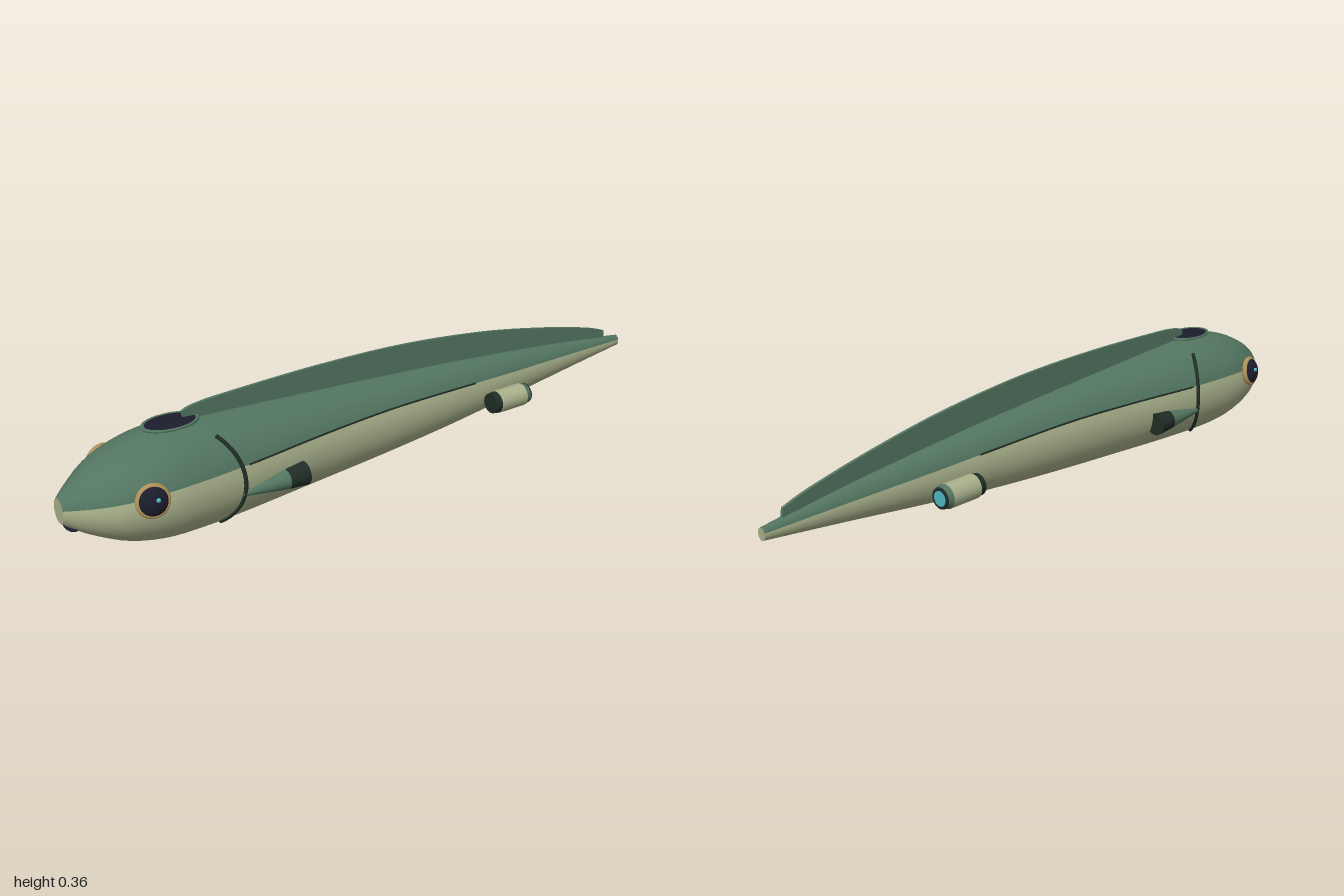
import * as THREE from 'three';

const mat = (name, color) => new THREE.MeshStandardMaterial({ name, color });

// Hull stations: z, top, bottom, half width, seam height (sine of its angle)
const stations = [
  [-1, 0.175, 0.14, 0.014, 0.3],
  [-0.75, 0.208, 0.111, 0.037, 0.32],
  [-0.5, 0.234, 0.08, 0.058, 0.36],
  [-0.25, 0.256, 0.052, 0.08, 0.42],
  [0, 0.274, 0.032, 0.1, 0.44],
  [0.25, 0.29, 0.017, 0.12, 0.38],
  [0.5, 0.305, 0.006, 0.147, 0.31],
  [0.65, 0.311, 0.003, 0.157, 0.28],
  [0.75, 0.305, 0.009, 0.157, 0.28],
  [0.84, 0.282, 0.031, 0.141, 0.28],
  [0.9, 0.255, 0.058, 0.115, 0.28],
  [0.96, 0.22, 0.091, 0.067, 0.28],
  [1, 0.192, 0.121, 0.028, 0.28],
];

// Smooth interpolation of the stations at any z
function hullAt(z) {
  let i = 0;
  while (i < stations.length - 2 && z > stations[i + 1][0]) i++;
  const a = stations[i], b = stations[i + 1], h = b[0] - a[0], t = (z - a[0]) / h;
  const slope = (n, k) => {
    const p = stations[Math.max(n - 1, 0)], q = stations[Math.min(n + 1, stations.length - 1)];
    return (q[k] - p[k]) / (q[0] - p[0]);
  };
  const value = (k) => {
    const t2 = t * t, t3 = t2 * t;
    return a[k] * (2 * t3 - 3 * t2 + 1) + slope(i, k) * h * (t3 - 2 * t2 + t)
      + b[k] * (3 * t2 - 2 * t3) + slope(i + 1, k) * h * (t3 - t2);
  };
  const top = value(1), bottom = value(2);
  return { cy: (top + bottom) / 2, ry: (top - bottom) / 2, rx: value(3), seam: Math.asin(value(4)), top };
}

function hullPoint(z, angle, grow = 0) {
  const s = hullAt(z);
  return new THREE.Vector3(Math.cos(angle) * (s.rx + grow), s.cy + Math.sin(angle) * (s.ry + grow), z);
}

// Skin between two angles that follow the seam
function hullSkin(range) {
  const rings = 72, seg = 32, pos = [], index = [];
  for (let i = 0; i <= rings; i++) {
    const z = -1 + (2 * i) / rings, [a0, a1] = range(hullAt(z).seam);
    for (let j = 0; j <= seg; j++) pos.push(...hullPoint(z, a0 + ((a1 - a0) * j) / seg).toArray());
  }
  for (let i = 0; i < rings; i++) {
    for (let j = 0; j < seg; j++) {
      const a = i * (seg + 1) + j, c = a + seg + 1;
      index.push(a, a + 1, c, a + 1, c + 1, c);
    }
  }
  const g = new THREE.BufferGeometry();
  g.setAttribute('position', new THREE.Float32BufferAttribute(pos, 3));
  g.setIndex(index);
  g.computeVertexNormals();
  return g;
}

export function createModel() {
  const green = mat('hullGreen', 0x527560);
  const cream = mat('bellyCream', 0xa8b08a);
  const dark = mat('darkGreen', 0x1f2d25);
  const navy = mat('navyGlass', 0x1c1d2c);
  const tan = mat('brassTan', 0xb0935c);
  const cyan = mat('glowCyan', 0x4fb9c4);

  const root = new THREE.Group();
  root.name = 'fishSubmarine';
  const add = (name, geometry, material, parent = root) => {
    const m = new THREE.Mesh(geometry, material);
    m.name = name;
    parent.add(m);
    return m;
  };
  // Cylinder along z, with front and back radii
  const barrel = (rFront, rBack, zFront, zBack) =>
    new THREE.CylinderGeometry(rFront, rBack, zFront - zBack, 24).rotateX(Math.PI / 2)
      .translate(0, 0, (zFront + zBack) / 2);

  // Hull
  add('upperHull', hullSkin((s) => [s, Math.PI - s]), green);
  add('lowerHull', hullSkin((s) => [Math.PI - s, 2 * Math.PI + s]), cream);
  for (const [name, z] of [['noseCap', 1], ['tailCap', -1]]) {
    const s = hullAt(z), cap = add(name, new THREE.CircleGeometry(1, 32), cream);
    cap.scale.set(s.rx, s.ry, 1);
    cap.position.set(0, s.cy, z);
    if (z < 0) cap.rotation.y = Math.PI;
  }

  // Dorsal fin
  const fin = new THREE.Shape();
  fin.moveTo(0.63, 0.29);
  fin.lineTo(0.635, 0.337);
  fin.splineThru([[0.6, 0.347], [0.5, 0.354], [0.2, 0.36], [-0.1, 0.352], [-0.4, 0.322],
    [-0.65, 0.279], [-0.85, 0.234], [-0.935, 0.207]].map((p) => new THREE.Vector2(...p)));
  for (let z = -0.94; z < 0.6; z += 0.1) fin.lineTo(z, hullAt(z).top - 0.012);
  const finDepth = 0.009;
  add('dorsalFin', new THREE.ExtrudeGeometry(fin, { depth: finDepth, bevelEnabled: false, curveSegments: 40 })
    .rotateY(-Math.PI / 2).translate(finDepth / 2, 0, 0), green);

  // Top hatch
  const hatch = new THREE.Group();
  hatch.name = 'topHatch';
  hatch.position.set(0, 0.315, 0.67);
  root.add(hatch);
  add('hatchRim', new THREE.TorusGeometry(0.05, 0.004, 8, 40).rotateX(Math.PI / 2).scale(1, 1, 1.55), green, hatch);
  add('hatchGlass', new THREE.SphereGeometry(1, 32, 12).scale(0.048, 0.006, 0.077), navy, hatch);

  // Mouth
  add('mouth', new THREE.SphereGeometry(1, 24, 12).scale(0.033, 0.008, 0.016), navy).position.set(0, 0.104, 0.972);

  for (const side of [1, -1]) {
    const word = side > 0 ? 'left' : 'right';

    // Eye, tilted to lie on the hull
    const eye = new THREE.Group();
    eye.name = word + 'Eye';
    eye.position.set(side * 0.151, 0.19, 0.81);
    eye.quaternion.setFromUnitVectors(new THREE.Vector3(0, 0, 1),
      new THREE.Vector3(side * 0.94, 0.19, 0.2).normalize());
    root.add(eye);
    add('eyeRing', new THREE.TorusGeometry(0.039, 0.008, 10, 36), tan, eye);
    add('eyeLens', new THREE.SphereGeometry(1, 28, 16).scale(0.041, 0.041, 0.023), navy, eye);
    add('eyeGlint', new THREE.SphereGeometry(0.006, 14, 10), cyan).position.set(side * 0.175, 0.2, 0.806);

    // Gill arc hugging the hull
    const gill = [];
    for (let i = 0; i <= 14; i++) {
      const t = -1 + i / 7, a = t * 0.97;
      gill.push(hullPoint(0.537 + 0.048 * t * t, side > 0 ? a : Math.PI - a, 0.001));
    }
    add(word + 'Gill', new THREE.TubeGeometry(new THREE.CatmullRomCurve3(gill), 40, 0.006, 8), dark);

    // Seam stripe
    const stripe = [];
    for (let i = 0; i <= 16; i++) {
      const z = 0.52 - i * 0.053, a = hullAt(z).seam;
      stripe.push(hullPoint(z, side > 0 ? a : Math.PI - a));
    }
    add(word + 'SeamStripe', new THREE.TubeGeometry(new THREE.CatmullRomCurve3(stripe), 40, 0.003, 6), dark);

    // Pectoral jet: cone and dark collar
    const jet = new THREE.Group();
    jet.name = word + 'PectoralJet';
    jet.position.set(side * 0.138, 0.123, 0);
    root.add(jet);
    const cone = add('jetCone', barrel(0.006, 0.029, 0.545, 0.405), green, jet);
    cone.geometry.translate(0, 0, -0.4);
    cone.position.z = 0.4;
    cone.rotation.y = side * 0.06;
    add('jetCollar', barrel(0.029, 0.034, 0.405, 0.342), dark, jet);

    // Rear thruster
    const thruster = new THREE.Group();
    thruster.name = word + 'Thruster';
    thruster.position.set(side * 0.099, 0.128, 0);
    root.add(thruster);
    add('intake', barrel(0.031, 0.034, -0.365, -0.39), dark, thruster);
    add('casing', barrel(0.035, 0.035, -0.385, -0.485), cream, thruster);
    add('rearCollar', barrel(0.035, 0.03, -0.485, -0.503), green, thruster);
    add('nozzleRing', new THREE.TorusGeometry(0.026, 0.005, 8, 28), dark, thruster).position.z = -0.503;
    add('glowDisc', barrel(0.022, 0.022, -0.5, -0.507), cyan, thruster);
  }
  return root;
}
